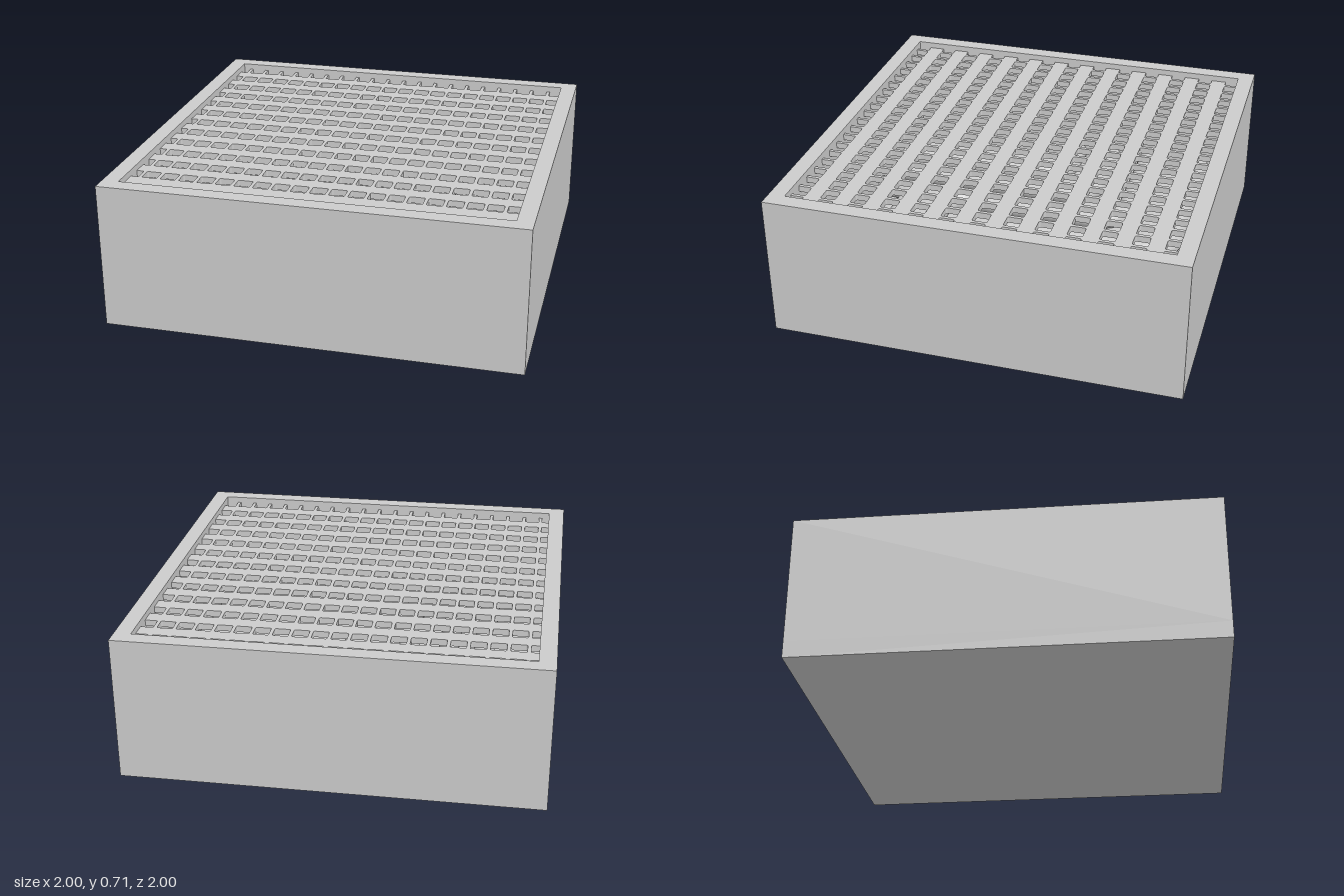
import * as THREE from 'three';

const HEIGHT = 0.71, FLOOR = 0.08, INNER = 0.92;
const PIPE_RADIUS = 0.055, PIPE_Y = FLOOR + PIPE_RADIUS;

// Rectangle outline with optionally rounded corners
function rect(path, cx, cy, hw, hh, r = 0) {
  if (r === 0) {
    return path.setFromPoints([[-1, -1], [1, -1], [1, 1], [-1, 1], [-1, -1]]
      .map(([x, y]) => new THREE.Vector2(cx + x * hw, cy + y * hh)));
  }
  path.moveTo(cx - hw + r, cy - hh);
  path.absarc(cx + hw - r, cy - hh + r, r, -Math.PI / 2, 0);
  path.absarc(cx + hw - r, cy + hh - r, r, 0, Math.PI / 2);
  path.absarc(cx - hw + r, cy + hh - r, r, Math.PI / 2, Math.PI);
  path.absarc(cx - hw + r, cy - hh + r, r, Math.PI, Math.PI * 1.5);
  return path;
}

// Extrudes a plan shape upwards between two heights (plan y becomes +z)
function slab(shape, y0, y1) {
  const geo = new THREE.ExtrudeGeometry(shape, { depth: y1 - y0, bevelEnabled: false, curveSegments: 3 });
  geo.rotateX(Math.PI / 2);
  geo.translate(0, y1, 0);
  return geo;
}

// Pipe through plan points [x, z], every inner corner rounded with the given radius
function pipeGeometry(points, radius) {
  const p = points.map(([x, z]) => new THREE.Vector3(x, PIPE_Y, z));
  const path = new THREE.CurvePath();
  let last = p[0];
  const lineTo = (to) => {
    if (last.distanceTo(to) > 1e-4) path.add(new THREE.LineCurve3(last, to));
    last = to;
  };
  for (let i = 1; i < p.length - 1; i++) {
    const a = p[i].clone().add(p[i - 1].clone().sub(p[i]).setLength(radius));
    const b = p[i].clone().add(p[i + 1].clone().sub(p[i]).setLength(radius));
    lineTo(a);
    path.add(new THREE.CubicBezierCurve3(a, a.clone().lerp(p[i], 0.5523), b.clone().lerp(p[i], 0.5523), b));
    last = b;
  }
  lineTo(p[p.length - 1]);
  return new THREE.TubeGeometry(path, 120, PIPE_RADIUS, 20, false);
}

export function createModel() {
  const model = new THREE.Group();
  const material = new THREE.MeshStandardMaterial({ color: 0xcccccc });
  const add = (name, geometry, parent = model) => {
    const mesh = new THREE.Mesh(geometry, material);
    mesh.name = name;
    parent.add(mesh);
    return mesh;
  };

  // Open box: base slab and four walls
  add('base', new THREE.BoxGeometry(2, FLOOR, 2)).position.y = FLOOR / 2;
  const frame = rect(new THREE.Shape(), 0, 0, 1, 1);
  frame.holes.push(rect(new THREE.Path(), 0, 0, INNER, INNER));
  add('walls', slab(frame, FLOOR, HEIGHT));

  // Recessed grate, its edges let into the walls
  const grate = rect(new THREE.Shape(), 0, 0, 0.98, 0.98);
  for (let row = 0; row < 13; row++) {
    for (let col = 0; col < 21; col++) {
      grate.holes.push(rect(new THREE.Path(), -0.92 + col * 0.0908, -0.89 + row * 0.1483, 0.037, 0.036, 0.008));
    }
  }
  add('grate', slab(grate, 0.65, 0.68));

  // Winding pipes beneath the grate, running from wall to wall
  const pipes = new THREE.Group();
  pipes.name = 'pipes';
  model.add(pipes);
  const E = 0.94;
  const routes = [
    [[[-E, -0.74], [0.035, -0.74], [0.035, 0.22], [E, 0.22]], 0.14],
    [[[-E, -0.45], [-0.215, -0.45], [-0.215, 0.525], [E, 0.525]], 0.14],
    [[[-E, -0.23], [-0.43, -0.23], [-0.43, E]], 0.13],
    [[[-E, -0.03], [-0.62, -0.03], [-0.62, E]], 0.13],
    [[[E, 0.72], [-0.23, 0.72], [-0.23, E]], 0.13],
    [[[0.675, -E], [0.675, -0.685], [E, -0.685]], 0.11],
    [[[0.34, -E], [0.34, -0.015], [0.515, -0.015], [0.69, -0.015], [0.69, -0.475], [E, -0.475]], 0.11],
  ];
  // The last route holds a U-turn: drop its middle point so the bend is two equal corners
  routes[6][0].splice(2, 1);
  routes[6][1] = 0.174;
  routes.forEach(([points, radius], i) => add(`pipe${i + 1}`, pipeGeometry(points, radius), pipes));

  return model;
}
